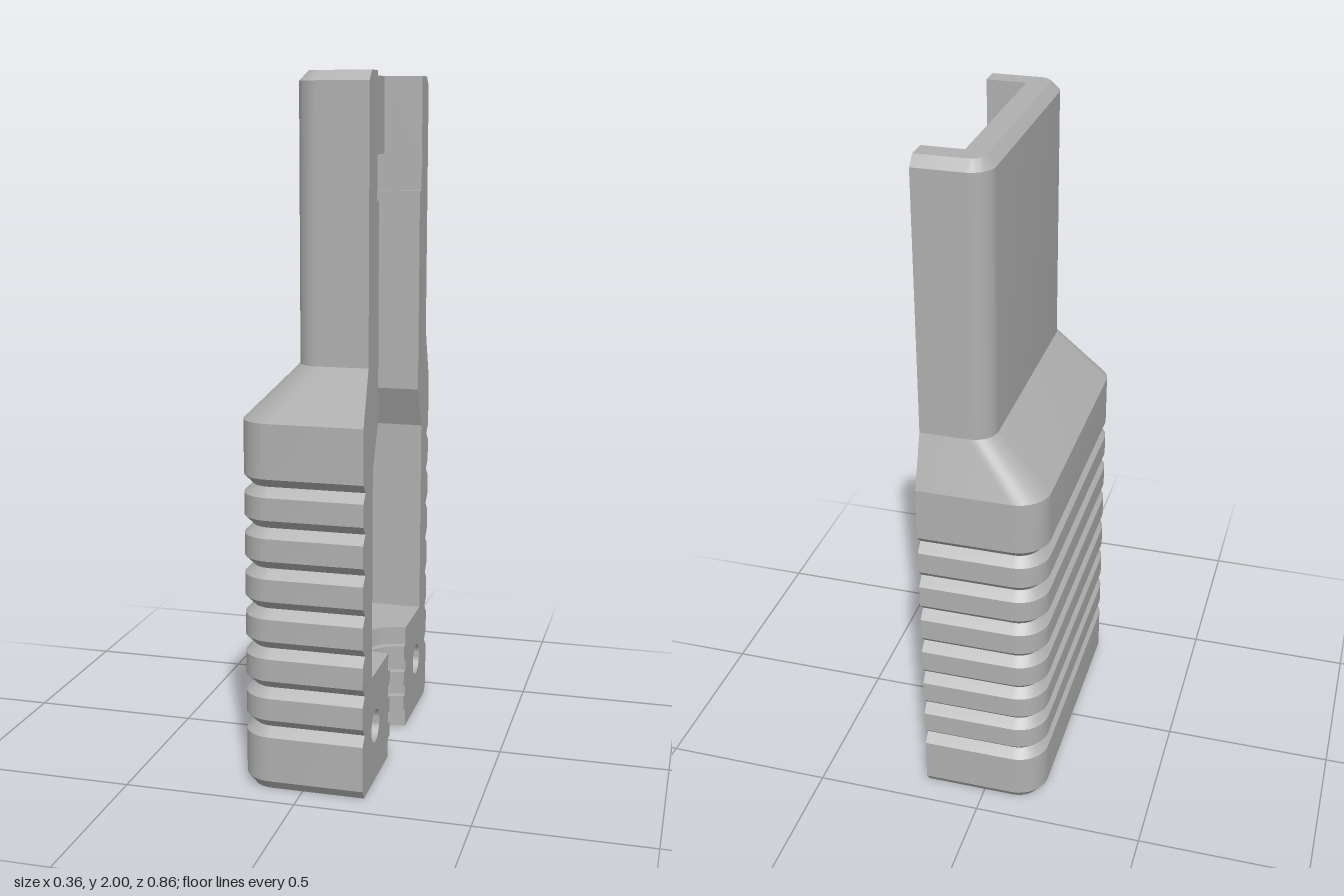
import * as THREE from 'three';
import { toCreasedNormals } from 'three/addons/utils/BufferGeometryUtils.js';

const OPEN = 0.18;      // plane of the open side
const BORE = 0.12;      // wide radius of the cable channel
const CHAMBER = 0.325;  // floor height of the inner chamber

// U-shaped section, open toward +x, running from -z to +z with rounded corners
function section(back, half, r) {
  const pts = [[OPEN, -half]];
  const steps = r ? 8 : 0;
  for (const side of [-1, 1]) {
    for (let i = 0; i <= steps; i++) {
      const t = (steps ? i / steps : 0) * Math.PI / 2;
      const a = side < 0 ? t : Math.PI / 2 - t;
      pts.push([back + r - r * Math.sin(a), side * (half - r + r * Math.cos(a))]);
    }
  }
  pts.push([OPEN, half]);
  return pts;
}

// Skin through stations [y, back, half, radius]
function loft(stations, inward) {
  const pos = [], index = [];
  const rows = stations.map(([y, back, half, r]) => section(back, half, r).map(([x, z]) => [x, y, z]));
  const n = rows[0].length;
  rows.flat().forEach(p => pos.push(...p));
  for (let i = 0; i < rows.length - 1; i++) {
    for (let j = 0; j < n - 1; j++) {
      const a = i * n + j, b = a + 1, d = a + n, c = d + 1;
      if (inward) index.push(a, c, b, a, d, c);
      else index.push(a, b, c, a, c, d);
    }
  }
  const g = new THREE.BufferGeometry();
  g.setAttribute('position', new THREE.Float32BufferAttribute(pos, 3));
  g.setIndex(index);
  return toCreasedNormals(g, 0.3);
}

// Horizontal face bounded by a U section and an inner edge returning from +z to -z
function cap(outer, inner, y, up) {
  const shape = new THREE.Shape([...outer, ...inner].map(p => new THREE.Vector2(...p)));
  const g = new THREE.ShapeGeometry(shape);
  g.rotateX(up ? -Math.PI / 2 : Math.PI / 2);
  return g.translate(0, y, 0);
}

export function createModel() {
  const model = new THREE.Group();
  const grey = new THREE.MeshStandardMaterial({ color: 0xb0b0b0 });
  grey.name = 'grey plastic';
  const add = (name, geometry) => {
    const mesh = new THREE.Mesh(geometry, grey);
    mesh.name = name;
    model.add(mesh);
    return mesh;
  };

  // Outer shell: chamfered base, seven grip grooves, shoulder and slim neck
  const outer = [[0, -0.16, 0.412, 0.07], [0.028, -0.182, 0.432, 0.09]];
  for (let i = 0; i < 7; i++) {
    const y = 0.186 + i * 0.1163;
    outer.push([y - 0.026, -0.182, 0.432, 0.09], [y, -0.156, 0.406, 0.064], [y + 0.026, -0.182, 0.432, 0.09]);
  }
  outer.push([1.065, -0.182, 0.432, 0.09], [1.22, -0.026, 0.379, 0.065],
    [1.973, -0.026, 0.379, 0.065], [2, 0, 0.352, 0.038]);
  add('outerShell', loft(outer, false));

  // Inner cavity: deep chamber, sloped roof, neck channel and stepped mouth
  const cavity = [[CHAMBER, -0.1, 0.325], [0.925, -0.1, 0.325], [1.05, 0.042, 0.267], [1.66, 0.042, 0.267],
    [1.66, 0.042, 0.289], [1.77, 0.042, 0.289], [1.77, 0.063, 0.289], [2, 0.063, 0.289]].map(s => [...s, 0]);
  add('innerCavity', loft(cavity, true));

  // Ribbed half-round cable channel, [radius, y] from top to bottom
  const levels = [CHAMBER, 0.27, 0.223, 0.186, 0.138, 0.106, 0.058, 0];
  const channel = [];
  for (let i = 0; i < 7; i++) {
    const r = i % 2 ? 0.098 : BORE;
    channel.push([r, levels[i]], [r, levels[i + 1]]);
  }
  const bore = new THREE.LatheGeometry(channel.map(p => new THREE.Vector2(...p)), 24, Math.PI, Math.PI);
  add('cableChannel', toCreasedNormals(bore, 0.5)).position.x = OPEN;

  // Horizontal faces
  const arc = [];
  for (let i = 0; i <= 24; i++) {
    const a = Math.PI * i / 24;
    arc.push([OPEN - BORE * Math.sin(a), BORE * Math.cos(a)]);
  }
  const first = outer[0], last = outer[outer.length - 1];
  add('baseFace', cap(section(first[1], first[2], first[3]), arc, 0, false));
  add('chamberFloor', cap(section(-0.1, 0.325, 0), arc, CHAMBER, true));
  const mouth = [[OPEN, 0.289], [0.063, 0.289], [0.063, -0.289], [OPEN, -0.289]];
  add('topFace', cap(section(last[1], last[2], last[3]), mouth, 2, true));

  // Mating faces and blind pin holes, mirrored about the channel
  const pinY = 0.164, pinZ = 0.279, pinR = 0.048, depth = 0.12;
  for (const s of [-1, 1]) {
    const edge = [
      ...outer.map(([y, , half]) => [half, y]),
      ...cavity.map(([y, , half]) => [half, y]).reverse(),
      ...channel,
    ].filter((p, i, all) => !i || p[0] !== all[i - 1][0] || p[1] !== all[i - 1][1]);
    const shape = new THREE.Shape(edge.map(([z, y]) => new THREE.Vector2(s * z, y)));
    shape.holes.push(new THREE.Path().absarc(s * pinZ, pinY, pinR, 0, Math.PI * 2, true));
    const face = new THREE.ShapeGeometry(shape, 16);
    face.rotateY(Math.PI / 2);
    add(s < 0 ? 'frontMatingFace' : 'backMatingFace', face).position.x = OPEN;

    const hole = new THREE.LatheGeometry(
      [[pinR, 0], [pinR, -depth], [0, -depth]].map(p => new THREE.Vector2(...p)), 32);
    hole.rotateZ(-Math.PI / 2);
    add(s < 0 ? 'frontPinHole' : 'backPinHole', toCreasedNormals(hole, 0.5))
      .position.set(OPEN, pinY, -s * pinZ);
  }
  return model;
}
